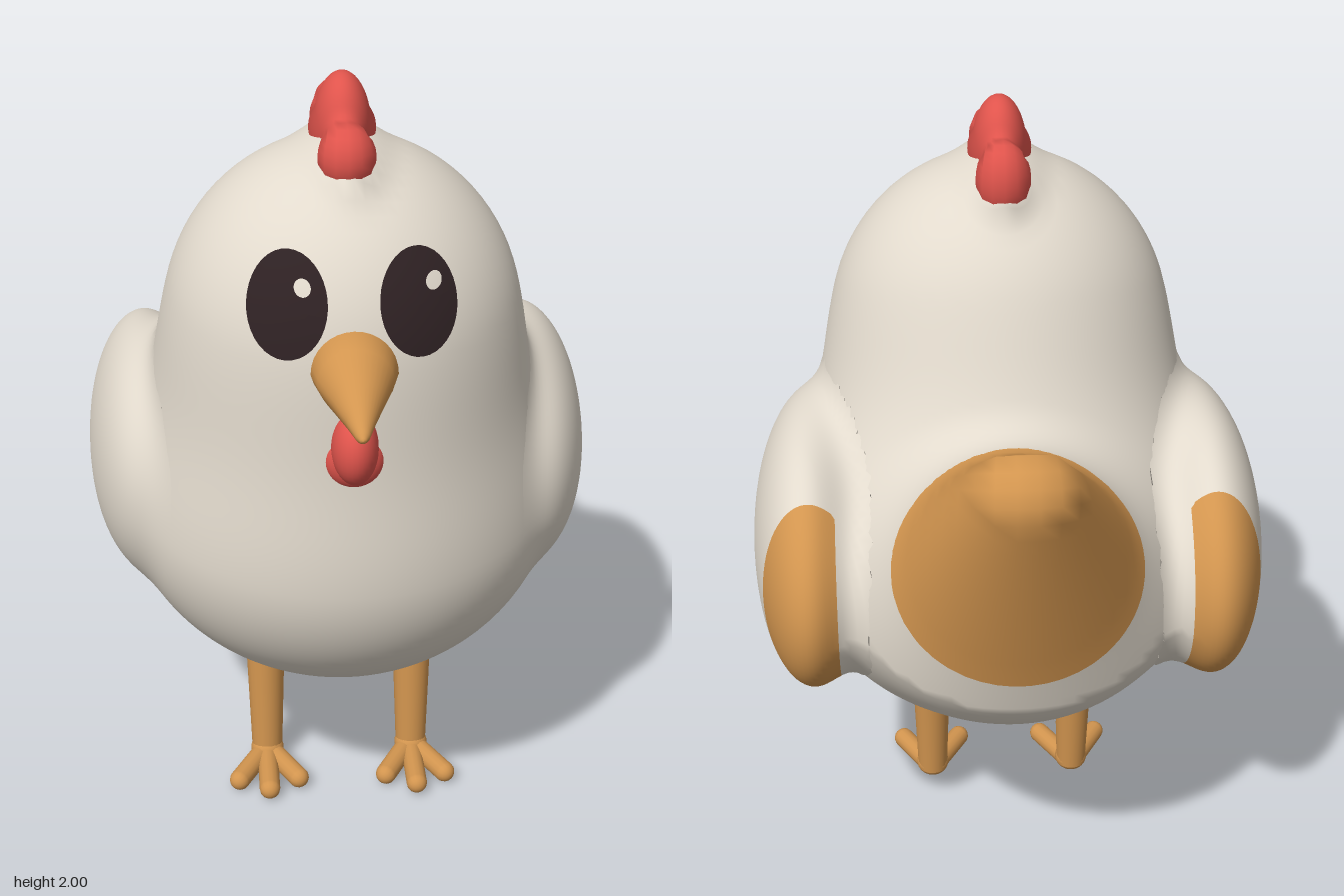
import * as THREE from 'three';

const mat = (name, color) => Object.assign(new THREE.MeshStandardMaterial({ color }), { name });

// Soft-blended distance fields
const ellipsoid = (x, y, z, rx, ry, rz) => {
  const k0 = Math.hypot(x / rx, y / ry, z / rz);
  return k0 * (k0 - 1) / (Math.hypot(x / (rx * rx), y / (ry * ry), z / (rz * rz)) + 1e-9);
};
const blend = (a, b, k) => {
  const h = Math.max(k - Math.abs(a - b), 0) / k;
  return Math.min(a, b) - h * h * k / 4;
};

// Tapered capsule rising backwards from the rump
function tailField(x, y, z) {
  const az = -0.38, ay = 0.93, dz = -0.37, dy = 0.47;
  const t = THREE.MathUtils.clamp(((z - az) * dz + (y - ay) * dy) / (dz * dz + dy * dy), 0, 1);
  return Math.hypot(x / 1.2, y - ay - t * dy, z - az - t * dz) - (0.32 - 0.21 * t);
}

function bodyField(x, y, z) {
  const belly = ellipsoid(x, y - 0.87, z - 0.05, 0.57, 0.51, 0.59);
  const head = ellipsoid(x, y - 1.38, z - 0.2, 0.44, 0.465, 0.42);
  const combRoot = ellipsoid(x, y - 1.8, z - 0.19, 0.08, 0.06, 0.23);
  const torso = blend(blend(belly, head, 0.25), tailField(x, y, z), 0.15);
  return blend(torso, combRoot, 0.07);
}

function wingField(x, y, z) {
  const c = Math.cos(0.2), s = Math.sin(0.2), dy = y - 0.93, dz = z + 0.1;
  const wing = ellipsoid(Math.abs(x) - 0.5, dy * c - dz * s, dz * c + dy * s, 0.15, 0.325, 0.44);
  return blend(bodyField(x, y, z), wing, 0.1);
}

function combField(x, y, z) {
  const lobes = [[0.35, 1.845, 0.08, 0.075], [0.19, 1.87, 0.13, 0.1], [0.03, 1.84, 0.1, 0.075]];
  return lobes.map(([cz, cy, ry, rz]) => ellipsoid(x, y - cy, z - cz, 0.068, ry, rz))
    .reduce((a, b) => blend(a, b, 0.05));
}

// Push a sphere's vertices outward from the centre until they leave the field
function blob(field, centre, radii, reach, segments) {
  const geo = new THREE.SphereGeometry(1, segments, Math.round(segments * 0.7));
  const pos = geo.attributes.position, nor = geo.attributes.normal;
  const d = new THREE.Vector3(), p = new THREE.Vector3(), n = new THREE.Vector3();
  const at = t => {
    p.copy(centre).addScaledVector(d, t);
    return field(p.x, p.y, p.z);
  };
  for (let i = 0; i < pos.count; i++) {
    d.fromBufferAttribute(pos, i).multiply(radii);
    let hi = 0.1;
    while (hi < reach && at(hi) < 0) hi += 0.02;
    let lo = hi - 0.02;
    for (let j = 0; j < 14; j++) {
      const mid = (lo + hi) / 2;
      if (at(mid) < 0) lo = mid; else hi = mid;
    }
    at(lo);
    const e = 0.004, { x, y, z } = p;
    n.set(field(x + e, y, z) - field(x - e, y, z), field(x, y + e, z) - field(x, y - e, z),
      field(x, y, z + e) - field(x, y, z - e)).normalize();
    pos.setXYZ(i, x, y, z);
    nor.setXYZ(i, n.x, n.y, n.z);
  }
  return geo;
}

// Keep the part of a surface where side(p) is positive, cut cleanly along the border
function clip(source, side) {
  const geo = source.toNonIndexed(), P = geo.attributes.position, N = geo.attributes.normal;
  const positions = [], normals = [];
  for (let i = 0; i < P.count; i += 3) {
    const tri = [0, 1, 2].map(k => {
      const p = new THREE.Vector3().fromBufferAttribute(P, i + k);
      return { p, n: new THREE.Vector3().fromBufferAttribute(N, i + k), f: side(p) };
    });
    const poly = [];
    tri.forEach((a, k) => {
      const b = tri[(k + 1) % 3];
      if (a.f >= 0) poly.push(a);
      if ((a.f >= 0) !== (b.f >= 0)) {
        const t = a.f / (a.f - b.f);
        poly.push({ p: a.p.clone().lerp(b.p, t), n: a.n.clone().lerp(b.n, t).normalize() });
      }
    });
    for (let k = 1; k + 1 < poly.length; k++) {
      for (const v of [poly[0], poly[k], poly[k + 1]]) {
        positions.push(...v.p.toArray());
        normals.push(...v.n.toArray());
      }
    }
  }
  const out = new THREE.BufferGeometry();
  out.setAttribute('position', new THREE.Float32BufferAttribute(positions, 3));
  out.setAttribute('normal', new THREE.Float32BufferAttribute(normals, 3));
  return out;
}

// Oval patch that follows the curve of the face
function facePatch(cx, cy, rx, ry, tilt, lift) {
  const geo = new THREE.RingGeometry(0.001, 1, 36, 6).rotateZ(0).scale(rx, ry, 1).rotateZ(tilt);
  const pos = geo.attributes.position;
  for (let i = 0; i < pos.count; i++) {
    const x = pos.getX(i) + cx, y = pos.getY(i) + cy;
    let lo = 0.3, hi = 0.9;
    for (let j = 0; j < 18; j++) {
      const mid = (lo + hi) / 2;
      if (bodyField(x, y, mid) < 0) lo = mid; else hi = mid;
    }
    pos.setXYZ(i, x, y, lo + lift);
  }
  geo.computeVertexNormals();
  return geo;
}

export function createModel() {
  const root = new THREE.Group();
  root.name = 'chicken';
  const cream = mat('cream feathers', 0xe2dacd), orange = mat('orange', 0xd2954f);
  const red = mat('red', 0xe0544c), dark = mat('dark eye', 0x2e2123);
  const add = (name, geo, material, parent = root) => {
    const mesh = new THREE.Mesh(geo, material);
    mesh.name = name;
    parent.add(mesh);
    return mesh;
  };
  const V = (x, y, z) => new THREE.Vector3(x, y, z);
  // Round limb between two points
  const limb = (name, a, b, rA, rB, material, parent, capped) => {
    const len = a.distanceTo(b);
    const geo = capped ? new THREE.CapsuleGeometry(rA, len, 6, 14) : new THREE.CylinderGeometry(rB, rA, len, 20);
    const mesh = add(name, geo, material, parent);
    mesh.position.copy(a).add(b).multiplyScalar(0.5);
    mesh.quaternion.setFromUnitVectors(V(0, 1, 0), b.clone().sub(a).normalize());
  };

  // Body with coloured tail
  const body = blob(bodyField, V(0, 0.98, 0.02), V(1, 1, 1), 1.6, 110);
  const tailSide = p => -0.87 * p.z + 0.5 * p.y - 0.992;
  add('body', clip(body, p => -tailSide(p)), cream);
  add('tail', clip(body, tailSide), orange);

  // Comb
  add('comb', blob(combField, V(0, 1.865, 0.19), V(1, 1, 1), 0.5, 48), red);

  // Beak, drooping towards the tip
  const beak = new THREE.LatheGeometry([[0.1, -0.08], [0.1, 0], [0.088, 0.04], [0.06, 0.11], [0.034, 0.18],
    [0.016, 0.235], [0.007, 0.248], [0, 0.25]].map(([r, h]) => new THREE.Vector2(r, h)), 32).rotateX(Math.PI / 2);
  const bp = beak.attributes.position;
  for (let i = 0; i < bp.count; i++) {
    const x = bp.getX(i), y = bp.getY(i), z = bp.getZ(i);
    bp.setXYZ(i, x * (y < 0 ? 1 + 2.5 * y : 1), y - 0.17 * Math.max(z, 0), z);
  }
  beak.computeVertexNormals();
  add('beak', beak, orange).position.set(0, 1.42, 0.615);

  // Wattle
  const ball = (r, p) => new THREE.SphereGeometry(1, 28, 20).scale(...r).translate(...p);
  add('wattle', ball([0.055, 0.09, 0.08], [0, 1.24, 0.625]), red);
  add('wattleBase', ball([0.07, 0.07, 0.04], [0, 1.2, 0.61]), red);

  for (const s of [-1, 1]) {
    const label = s > 0 ? 'left' : 'right';

    // Wing with coloured tip
    const wing = blob(wingField, V(s * 0.5, 0.93, -0.1), V(0.15, 0.325, 0.44), 1.35, 72);
    const tipSide = p => Math.min(-p.z - 0.36, Math.abs(p.x) - 0.435);
    add(label + 'Wing', clip(wing, p => -tipSide(p)), cream);
    add(label + 'WingTip', clip(wing, tipSide), orange);

    // Eye and highlight
    add(label + 'Eye', facePatch(s * 0.15, 1.567, 0.09, 0.117, s * 0.2, 0.008), dark);
    add(label + 'EyeHighlight', facePatch(s * 0.15 + 0.035, 1.612, 0.019, 0.019, 0, 0.013), cream);

    // Leg and three-toed foot
    const leg = new THREE.Group();
    leg.name = label + 'Leg';
    root.add(leg);
    limb('cuff', V(s * 0.2, 0.365, 0.077), V(s * 0.2, 0.43, 0.073), 0.054, 0.085, cream, leg);
    limb('shin', V(s * 0.2, 0.03, 0.1), V(s * 0.2, 0.42, 0.073), 0.041, 0.054, orange, leg);
    add('ankle', ball([0.045, 0.04, 0.045], [s * 0.2, 0.04, 0.104]), orange, leg);
    for (const [dx, z] of [[-0.08, 0.235], [0, 0.28], [0.08, 0.235]]) {
      limb('toe', V(s * 0.2 + dx * 0.15, 0.03, 0.11), V(s * 0.2 + dx, 0.028, z), 0.028, 0.028, orange, leg, true);
    }
  }
  return root;
}
